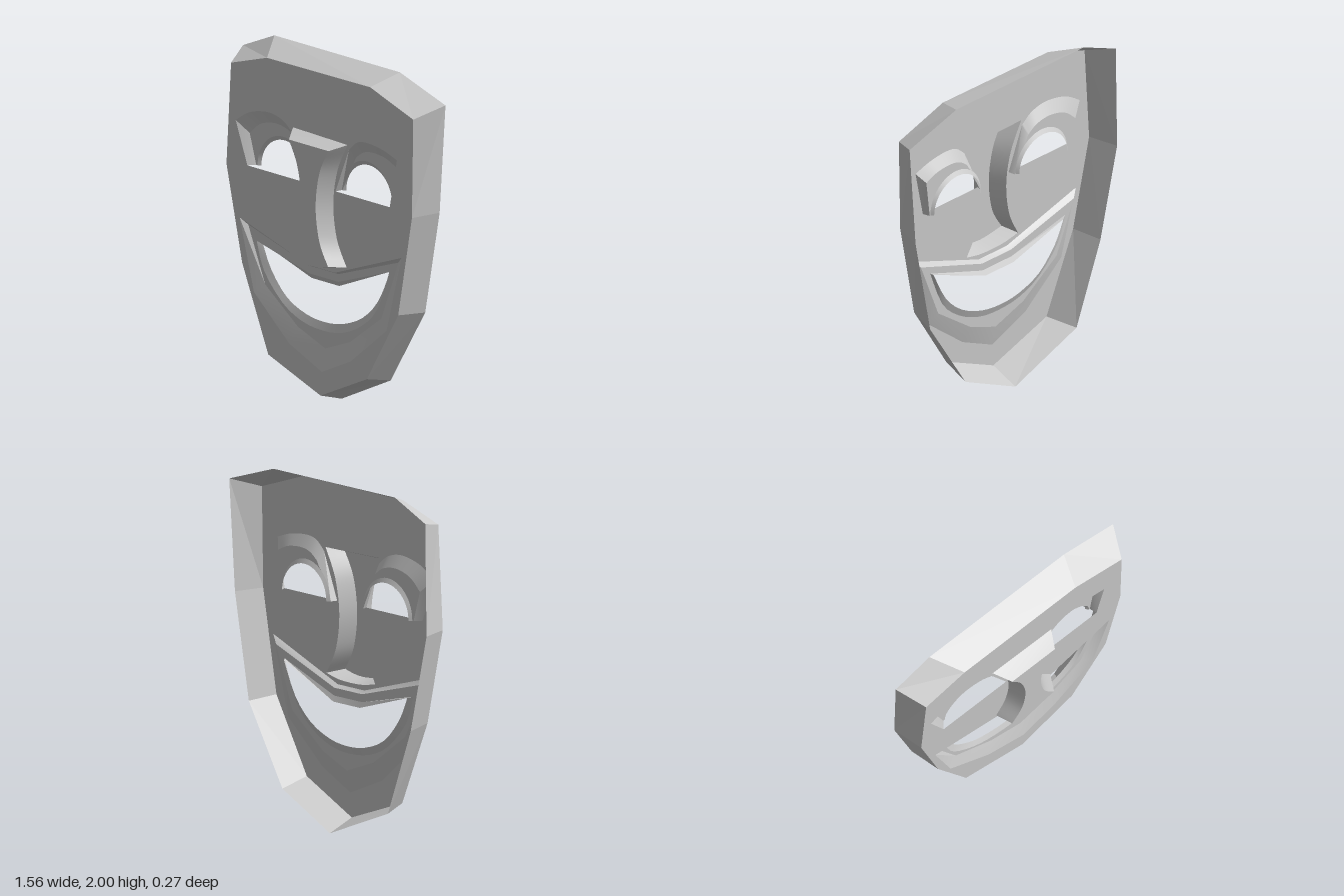
import * as THREE from 'three';
import { toCreasedNormals } from 'three/addons/utils/BufferGeometryUtils.js';

const FRONT = 0.04, BACK = -0.135, NOSE = 0.137;
const LID = 0, LID_EDGE = -0.015, LIP = 0.012, LIP_EDGE = -0.005;
const material = new THREE.MeshStandardMaterial({ color: 0xcccccc, side: THREE.DoubleSide });
const vecs = (pts) => pts.map(([x, y]) => new THREE.Vector2(x, y));

// smooth curve through a few points
const smooth = (pts, n) => new THREE.SplineCurve(vecs(pts)).getPoints(n).map((p) => [p.x, p.y]);

function add(parent, name, geometry) {
  const mesh = new THREE.Mesh(geometry, material);
  mesh.name = name;
  parent.add(mesh);
}

// wall joining successive outlines, each given as [points, z]
function loft(rings, closed, crease = 0.45) {
  const pos = [], index = [], n = rings[0][0].length;
  for (const [pts, z] of rings) for (const [x, y] of pts) pos.push(x, y, z);
  for (let r = 0; r < rings.length - 1; r++) {
    for (let i = 0; i < (closed ? n : n - 1); i++) {
      const a = r * n + i, b = r * n + (i + 1) % n;
      index.push(a, b, b + n, a, b + n, a + n);
    }
  }
  const g = new THREE.BufferGeometry();
  g.setAttribute('position', new THREE.Float32BufferAttribute(pos, 3));
  g.setIndex(index);
  return toCreasedNormals(g, crease);
}

// flat sheet with openings
function sheet(outline, holes, z) {
  const shape = new THREE.Shape(vecs(outline));
  shape.holes = holes.map((h) => new THREE.Path(vecs(h)));
  return new THREE.ShapeGeometry(shape).translate(0, 0, z);
}

// socket outline: outer side, brow arch, inner side
const socketPath = (p) => [p[0], ...smooth(p.slice(1, -1), 24), p[p.length - 1]];

// half-ellipse opening, sampled to match the socket path
function eyeArch(cx, rx, ry, dir) {
  const out = [];
  for (let i = 0; i <= 26; i++) {
    const t = Math.PI * i / 26;
    out.push([cx + dir * rx * Math.cos(t), 1.275 + ry * Math.sin(t)]);
  }
  return out;
}

export function createModel() {
  const mask = new THREE.Group();
  mask.name = 'mask';

  // bevelled rim
  const rimBack = [[-0.77, 1.89], [-0.53, 2], [0.43, 2], [0.78, 1.885], [0.735, 1.25], [0.625, 0.645],
    [0.36, 0.19], [-0.015, 0], [-0.475, 0.19], [-0.655, 0.69], [-0.78, 1.25]];
  const rimFront = [[-0.695, 1.845], [-0.42, 1.935], [0.37, 1.94], [0.7, 1.825], [0.69, 1.25], [0.585, 0.66],
    [0.345, 0.235], [-0.01, 0.06], [-0.41, 0.21], [-0.61, 0.7], [-0.73, 1.25]];

  // eye sockets
  const eyes = [
    { name: 'rightEye', cx: -0.335, rx: 0.18, dir: -1,
      outer: [[-0.57, 1.275], [-0.66, 1.52], [-0.55, 1.59], [-0.41, 1.62], [-0.3, 1.598], [-0.225, 1.54], [-0.125, 1.275]],
      inner: [[-0.54, 1.275], [-0.59, 1.45], [-0.51, 1.52], [-0.4, 1.55], [-0.3, 1.535], [-0.235, 1.49], [-0.135, 1.275]] },
    { name: 'leftEye', cx: 0.31, rx: 0.175, dir: 1,
      outer: [[0.52, 1.275], [0.575, 1.56], [0.47, 1.595], [0.35, 1.61], [0.27, 1.595], [0.208, 1.54], [0.105, 1.275]],
      inner: [[0.505, 1.275], [0.53, 1.5], [0.45, 1.535], [0.35, 1.545], [0.28, 1.53], [0.225, 1.49], [0.115, 1.275]] },
  ];
  const sockets = eyes.map((e) => socketPath(e.outer));

  // nose outlines, pinched in the middle
  const noseBase = [
    ...smooth([[-0.22, 1.575], [-0.14, 1.4], [-0.107, 1.2], [-0.13, 1], [-0.195, 0.85]], 20),
    ...smooth([[-0.195, 0.85], [-0.1, 0.83], [0, 0.825], [0.1, 0.83], [0.19, 0.85]], 8).slice(1, -1),
    ...smooth([[0.19, 0.85], [0.115, 1], [0.088, 1.2], [0.12, 1.4], [0.197, 1.565]], 20)];
  const noseFront = [
    ...smooth([[-0.16, 1.54], [-0.095, 1.4], [-0.065, 1.2], [-0.09, 1], [-0.16, 0.865]], 20),
    ...smooth([[-0.16, 0.865], [-0.08, 0.85], [0, 0.842], [0.08, 0.85], [0.14, 0.865]], 8).slice(1, -1),
    ...smooth([[0.14, 0.865], [0.072, 1], [0.045, 1.2], [0.075, 1.4], [0.145, 1.54]], 20)];

  // mouth outlines
  const mouthOuter = [[-0.63, 0.96], [-0.52, 0.55], [-0.25, 0.31], [0, 0.2], [0.22, 0.31], [0.495, 0.55],
    [0.61, 1], [0.1, 0.8], [-0.11, 0.8]];
  const mouthInner = [[-0.59, 0.92], [-0.46, 0.6], [-0.21, 0.41], [0, 0.33], [0.19, 0.41], [0.43, 0.6],
    [0.56, 0.955], [0.1, 0.785], [-0.12, 0.785]];
  const lipFront = [...smooth([[-0.525, 0.84], [-0.47, 0.68], [-0.33, 0.525], [-0.18, 0.45], [-0.02, 0.43],
    [0.13, 0.45], [0.28, 0.525], [0.4, 0.65], [0.49, 0.885]], 24), [0.1, 0.74], [-0.12, 0.74]];
  const lipBack = [...smooth([[-0.495, 0.83], [-0.43, 0.69], [-0.31, 0.555], [-0.16, 0.49], [-0.02, 0.475],
    [0.12, 0.495], [0.27, 0.565], [0.39, 0.69], [0.48, 0.88]], 24), [0.09, 0.71], [-0.12, 0.71]];

  add(mask, 'rim', loft([[rimBack, BACK], [rimFront, FRONT]], true, 0.01));
  add(mask, 'face', sheet(rimFront, [...sockets, noseBase, mouthOuter], FRONT));

  eyes.forEach((e, i) => {
    const group = new THREE.Group();
    group.name = e.name;
    const inner = socketPath(e.inner);
    const archFront = eyeArch(e.cx, e.rx + 0.015, 0.21, e.dir);
    const archBack = eyeArch(e.cx, e.rx, 0.185, e.dir);
    add(group, 'browWall', loft([[sockets[i], FRONT], [inner, LID]], false));
    add(group, 'eyelid', loft([[inner, LID], [archFront, LID]], false));
    add(group, 'eyeEdge', loft([[archFront, LID], [archBack, LID_EDGE]], false));
    mask.add(group);
  });

  const nose = new THREE.Group();
  nose.name = 'nose';
  add(nose, 'noseSides', loft([[noseBase, FRONT], [noseFront, NOSE]], true));
  add(nose, 'noseBridge', sheet(noseFront, [], NOSE));
  mask.add(nose);

  const mouth = new THREE.Group();
  mouth.name = 'mouth';
  add(mouth, 'mouthSlope', loft([[mouthOuter, FRONT], [mouthInner, LIP]], true));
  add(mouth, 'lips', sheet(mouthInner, [lipFront], LIP));
  add(mouth, 'lipEdge', loft([[lipFront, LIP], [lipBack, LIP_EDGE]], true));
  mask.add(mouth);

  return mask;
}
